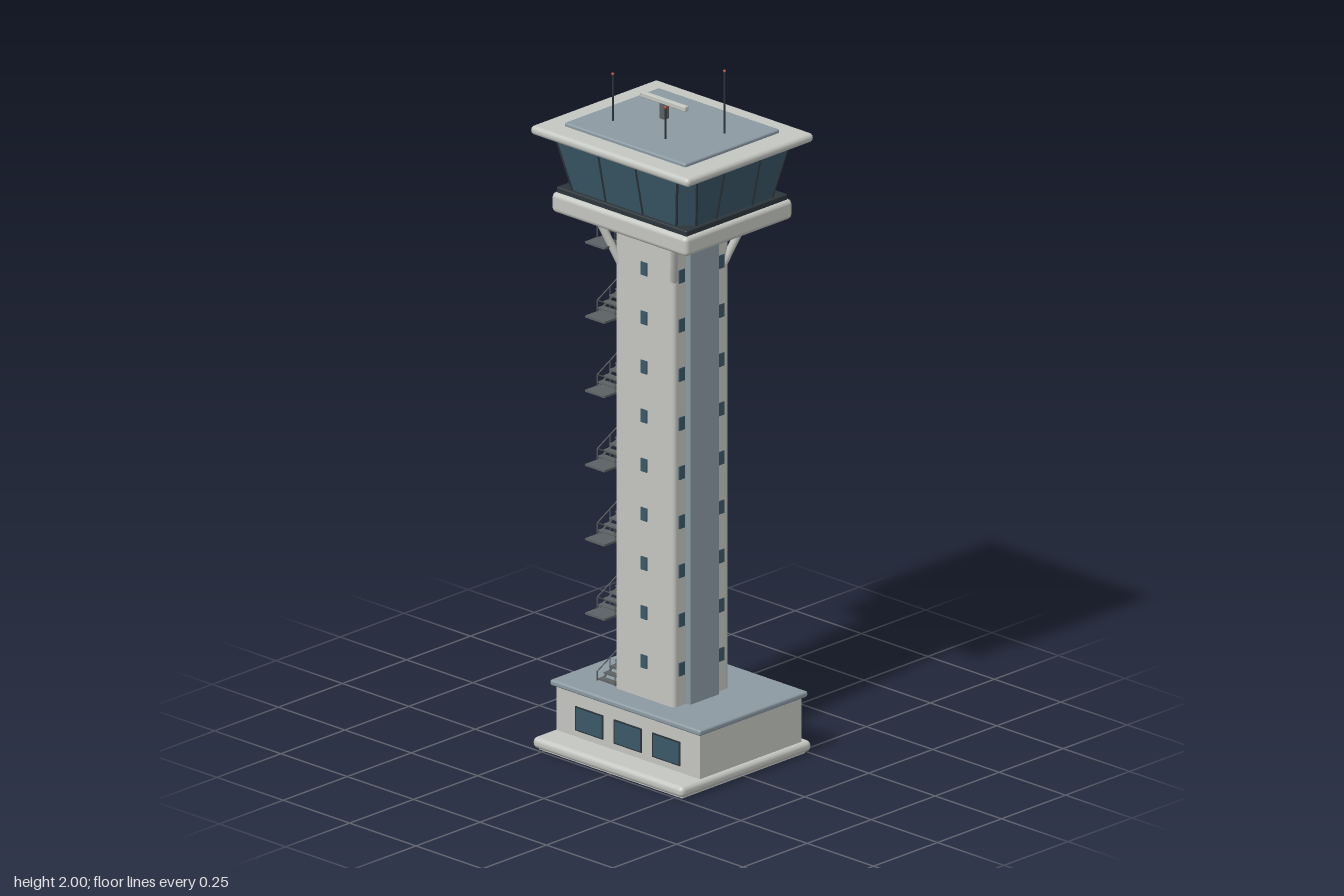
import * as THREE from 'three';
import { RoundedBoxGeometry } from 'three/addons/geometries/RoundedBoxGeometry.js';

const mat = (color) => new THREE.MeshStandardMaterial({ color });
const concrete = mat(0xc4c6c1), panel = mat(0x8c9aa2), glass = mat(0x3a5868);
const dark = mat(0x2c353b), steel = mat(0x5c6164), red = mat(0xb0452f);
const V = (x, y, z) => new THREE.Vector3(x, y, z);

export function createModel() {
  const model = new THREE.Group();
  model.name = 'controlTower';

  const add = (name, geometry, material, x = 0, y = 0, z = 0, parent = model) => {
    const mesh = new THREE.Mesh(geometry, material);
    mesh.name = name;
    mesh.position.set(x, y, z);
    parent.add(mesh);
    return mesh;
  };
  // Box given by its bottom and top heights, with rounded edges if r > 0
  const block = (name, material, w, d, y0, y1, r = 0, x = 0, z = 0, parent = model) => {
    const h = y1 - y0;
    const g = r ? new RoundedBoxGeometry(w, h, d, 3, r) : new THREE.BoxGeometry(w, h, d);
    return add(name, g, material, x, (y0 + y1) / 2, z, parent);
  };
  // Round bar between two points
  const rod = (name, material, a, b, r, parent = model, sides = 6) => {
    const dir = b.clone().sub(a), mid = a.clone().add(b).multiplyScalar(0.5);
    const m = add(name, new THREE.CylinderGeometry(r, r, dir.length(), sides), material, mid.x, mid.y, mid.z, parent);
    m.quaternion.setFromUnitVectors(V(0, 1, 0), dir.normalize());
    return m;
  };
  const group = (name) => {
    const g = new THREE.Group();
    g.name = name;
    model.add(g);
    return g;
  };

  // Base building
  block('plinth', concrete, 0.566, 0.51, 0.005, 0.037, 0.014);
  block('footing', concrete, 0.54, 0.48, 0, 0.01);
  block('baseBuilding', concrete, 0.54, 0.396, 0.03, 0.17, 0, 0, -0.027);
  block('baseRoof', panel, 0.566, 0.423, 0.167, 0.184, 0.006, 0, -0.027);
  for (const x of [-0.145, 0, 0.145]) {
    block('baseWindowFrame', dark, 0.104, 0.008, 0.056, 0.126, 0, x, 0.17);
    block('baseWindow', glass, 0.096, 0.008, 0.06, 0.122, 0, x, 0.1715);
  }

  // Shaft with lift strip and slit windows
  block('shaft', concrete, 0.222, 0.216, 0.17, 1.57, 0.012);
  block('liftStrip', panel, 0.06, 0.116, 0.18, 1.53, 0.004, 0.096, 0.002);
  const windows = group('shaftWindows');
  for (let i = 0; i < 9; i++) {
    const y = 0.29 + i * 0.1425;
    for (const z of [-0.107, 0.107]) block('slitWindow', glass, 0.022, 0.008, y - 0.019, y + 0.019, 0, 0, z, windows);
    for (const z of [-0.076, 0.078]) block('sideWindow', glass, 0.008, 0.022, y - 0.019, y + 0.019, 0, 0.11, z, windows);
  }

  // Zigzag escape stair on the -x side
  const stair = group('stair');
  const sx = -0.152, width = 0.066, rise = 0.1077, endZ = 0.1;
  for (let i = 0; i < 12; i++) {
    const y0 = 0.285 + (i - 1) * rise, y1 = y0 + rise;
    const side = i % 2 ? 1 : -1; // end at which this flight arrives
    const z0 = -side * endZ, z1 = side * endZ;
    for (let k = 1; k <= 9; k++) {
      const t = k / 9, y = y0 + rise * t;
      block('tread', steel, width, 0.02, y - 0.004, y, 0, sx, z0 + (z1 - z0) * (t - 0.05), stair);
    }
    block('landing', steel, width + 0.006, 0.05, y1 - 0.006, y1, 0, sx, side * 0.119, stair);
    for (const x of [sx - width / 2, sx + width / 2]) {
      rod('stringer', steel, V(x, y0 - 0.004, z0), V(x, y1 - 0.004, z1), 0.003, stair);
      rod('handrail', steel, V(x, y0 + 0.033, z0), V(x, y1 + 0.033, z1), 0.0018, stair);
      for (const t of [0, 0.25, 0.5, 0.75, 1]) {
        const y = y0 + rise * t, z = z0 + (z1 - z0) * t;
        rod('railPost', steel, V(x, y - 0.003, z), V(x, y + 0.033, z), 0.0015, stair);
      }
    }
  }

  // Corner struts and the slab they carry
  for (const x of [-1, 1]) for (const z of [-1, 1]) {
    const foot = V(x * 0.102, 1.42, z * 0.098), head = V(x * 0.15, 1.565, z * 0.145);
    rod('strut', concrete, foot, head, 0.011, model, 12);
  }
  block('cabSlab', concrete, 0.51, 0.42, 1.555, 1.613, 0.014);
  block('cabSill', dark, 0.49, 0.396, 1.608, 1.628, 0.004);

  // Glazed cab: chamfered plan that leans outwards with height
  const cabY = 1.62, cabH = 0.165, hx = 0.232, hz = 0.184, c = 0.038;
  const lean = (x, z, t) => V(x + Math.sign(x) * 0.036 * t, cabY + cabH * t, z + Math.sign(z) * 0.034 * t);
  const plan = [[hx, hz - c], [hx - c, hz], [c - hx, hz], [-hx, hz - c],
    [-hx, c - hz], [c - hx, -hz], [hx - c, -hz], [hx, c - hz]];
  const outline = new THREE.Shape(plan.map(([x, z]) => new THREE.Vector2(x, -z)));
  const cab = new THREE.ExtrudeGeometry(outline, { depth: 1, bevelEnabled: false });
  cab.rotateX(-Math.PI / 2);
  const p = cab.attributes.position;
  for (let i = 0; i < p.count; i++) {
    const v = lean(p.getX(i), p.getZ(i), p.getY(i));
    p.setXYZ(i, v.x, v.y, v.z);
  }
  cab.computeVertexNormals();
  add('cabGlass', cab, glass);
  const mullions = group('cabMullions');
  const bars = [...plan];
  for (const s of [-1, 1]) for (const u of [-0.07, 0.07]) bars.push([u, s * hz], [s * hx, u]);
  bars.forEach(([x, z], i) => {
    // Pane bars keep their place along the wall, corner bars follow the lean
    const top = lean(x, z, 1);
    if (i >= 8) {
      if (Math.abs(x) === 0.07) top.x = x;
      else top.z = z;
    }
    rod('mullion', dark, lean(x, z, 0), top, 0.0035, mullions);
  });

  // Roof
  block('roofSlab', concrete, 0.596, 0.496, 1.779, 1.805, 0.012);
  block('roofPanel', panel, 0.456, 0.37, 1.795, 1.815, 0.005);

  // Radar on its pedestal
  add('radarPedestal', new THREE.CylinderGeometry(0.013, 0.013, 0.045, 20), steel, -0.058, 1.835, -0.03);
  block('radarBar', concrete, 0.17, 0.015, 1.855, 1.87, 0.003, -0.058, -0.03);

  // Antennas with warning lights
  for (const [x, z, top] of [[-0.143, 0.083, 1.955], [0.055, 0.083, 1.91], [0.142, -0.058, 2]]) {
    rod('antenna', dark, V(x, 1.81, z), V(x, top - 0.004, z), 0.0028, model, 8);
    add('warningLight', new THREE.SphereGeometry(0.0045, 12, 8), red, x, top - 0.0045, z);
  }
  return model;
}
